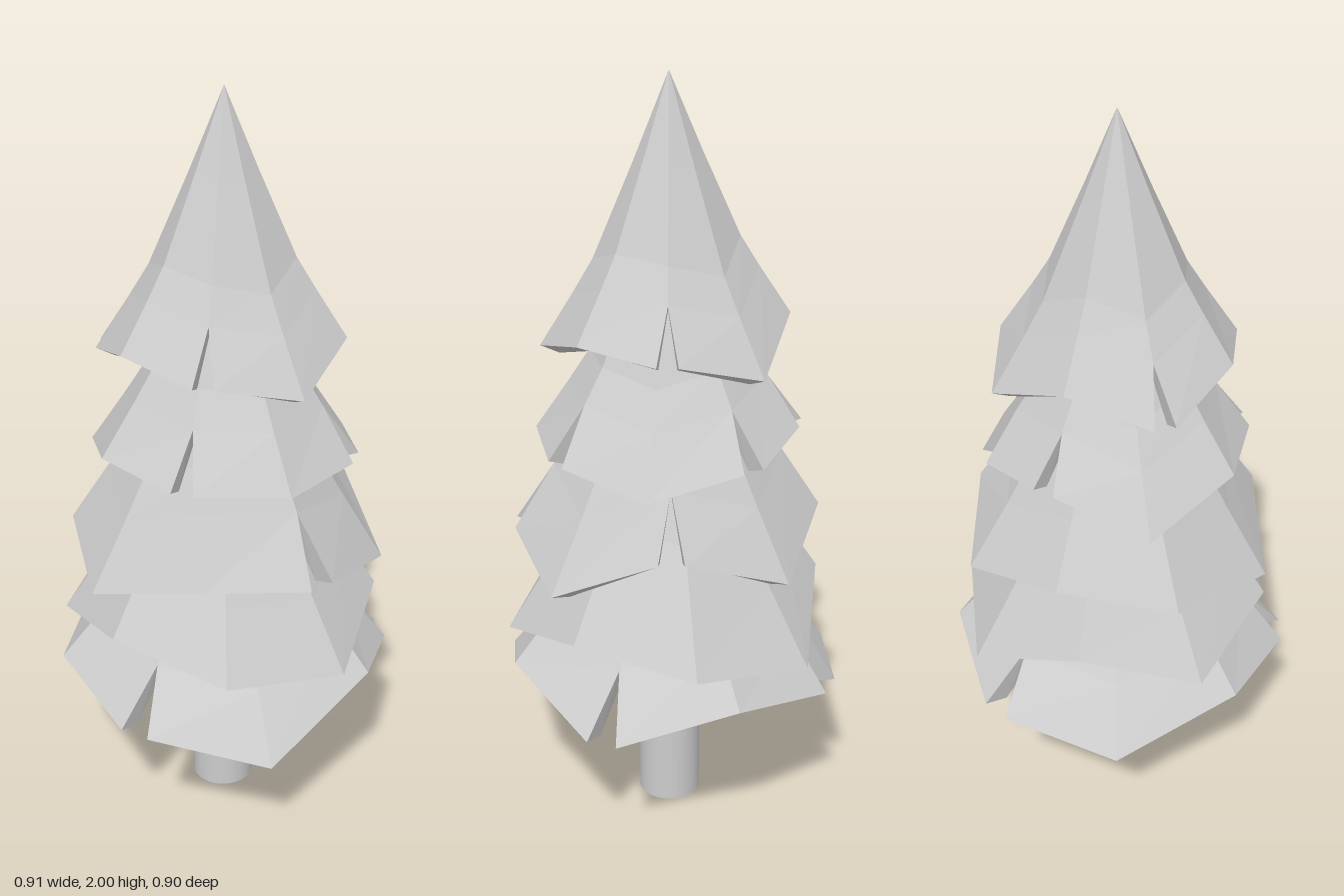
import * as THREE from 'three';

const CX = 0.015, CZ = 0.008, SIDES = 8, SLIT = 0.085;

// Concave branch profile: [share of the drop, share of the radius]
const RINGS = [[0, 0], [0.32, 0.27], [0.67, 0.58], [0.8, 0.74], [1, 1]];
const LAST = RINGS.length - 1;

// Each tier is a turned octagon (degrees) whose corners are lifted or lowered
// from the rim height; corners listed in slits are split open.
const TIERS = [
  { top: 2, y: 1.35, radius: 0.317, turn: 24, lifts: [-0.04, 0.01, 0.04, -0.03, 0.05, -0.05, 0.01, 0.03], slits: [1, 3, 6] },
  { top: 1.75, y: 1.07, radius: 0.352, turn: 32, lifts: [0, 0.02, 0.03, -0.05, 0.05, 0.01, -0.04, 0], slits: [1, 4, 5, 7] },
  { top: 1.66, y: 0.82, radius: 0.406, turn: 22.5, lifts: [0, 0.03, -0.06, -0.01, 0.05, -0.04, 0.06, -0.07], slits: [0, 6] },
  { top: 1.45, y: 0.59, radius: 0.421, turn: 14, lifts: [-0.05, -0.01, 0.055, -0.03, 0.07, -0.07, -0.02, 0.04], slits: [] },
  { top: 1.15, y: 0.43, radius: 0.457, turn: 0, lifts: [0.06, -0.07, -0.01, 0.04, -0.05, -0.015, 0.05, -0.03], slits: [2, 5, 7] },
];

// Points from a tier's tip down to one corner; shift swings only the rim point
function rib(tier, corner, shift, inner) {
  const lift = tier.lifts[corner];
  const reach = (tier.radius - lift * 0.25) * (inner ? 0.85 : 1);
  const angle = THREE.MathUtils.degToRad(tier.turn) + (corner / SIDES) * Math.PI * 2;
  return RINGS.map(([drop, spread], k) => {
    const a = k === LAST ? angle + shift : angle;
    const y = THREE.MathUtils.lerp(tier.top, tier.y + lift, drop) - (inner ? 0.02 : 0);
    return [CX + Math.cos(a) * reach * spread, y, CZ + Math.sin(a) * reach * spread];
  });
}

function tierGeometry(tier) {
  const pos = [];
  const tri = (...corners) => pos.push(...corners.flat());
  const quad = (a, b, c, d) => tri(a, b, c, a, c, d);
  for (let i = 0; i < SIDES; i++) {
    const j = (i + 1) % SIDES;
    const openStart = tier.slits.includes(i), openEnd = tier.slits.includes(j);
    const [o1, n1] = [false, true].map((inner) => rib(tier, i, openStart ? SLIT : 0, inner));
    const [o2, n2] = [false, true].map((inner) => rib(tier, j, openEnd ? -SLIT : 0, inner));
    // Outer and inner skins, starting with one triangle at the tip
    tri(o1[0], o2[1], o1[1]);
    tri(n1[0], n1[1], n2[1]);
    for (let k = 1; k < LAST; k++) {
      quad(o1[k], o2[k], o2[k + 1], o1[k + 1]);
      quad(n1[k], n1[k + 1], n2[k + 1], n2[k]);
    }
    // Underside lip
    quad(o1[LAST], o2[LAST], n2[LAST], n1[LAST]);
    // Slit walls
    if (openStart) quad(o1[LAST - 1], o1[LAST], n1[LAST], n1[LAST - 1]);
    if (openEnd) quad(o2[LAST - 1], n2[LAST - 1], n2[LAST], o2[LAST]);
  }
  const geometry = new THREE.BufferGeometry();
  geometry.setAttribute('position', new THREE.Float32BufferAttribute(pos, 3));
  geometry.computeVertexNormals();
  return geometry;
}

export function createModel() {
  const tree = new THREE.Group();
  tree.name = 'tree';
  const grey = new THREE.MeshStandardMaterial({ color: 0xcccccc, side: THREE.DoubleSide });
  grey.name = 'light grey';

  // Trunk
  const trunk = new THREE.Mesh(new THREE.CylinderGeometry(0.083, 0.083, 1, 32), grey);
  trunk.name = 'trunk';
  trunk.position.set(CX, 0.5, CZ);
  tree.add(trunk);

  // Branch tiers, top to bottom
  TIERS.forEach((tier, i) => {
    const mesh = new THREE.Mesh(tierGeometry(tier), grey);
    mesh.name = `branchTier${i + 1}`;
    tree.add(mesh);
  });
  return tree;
}
